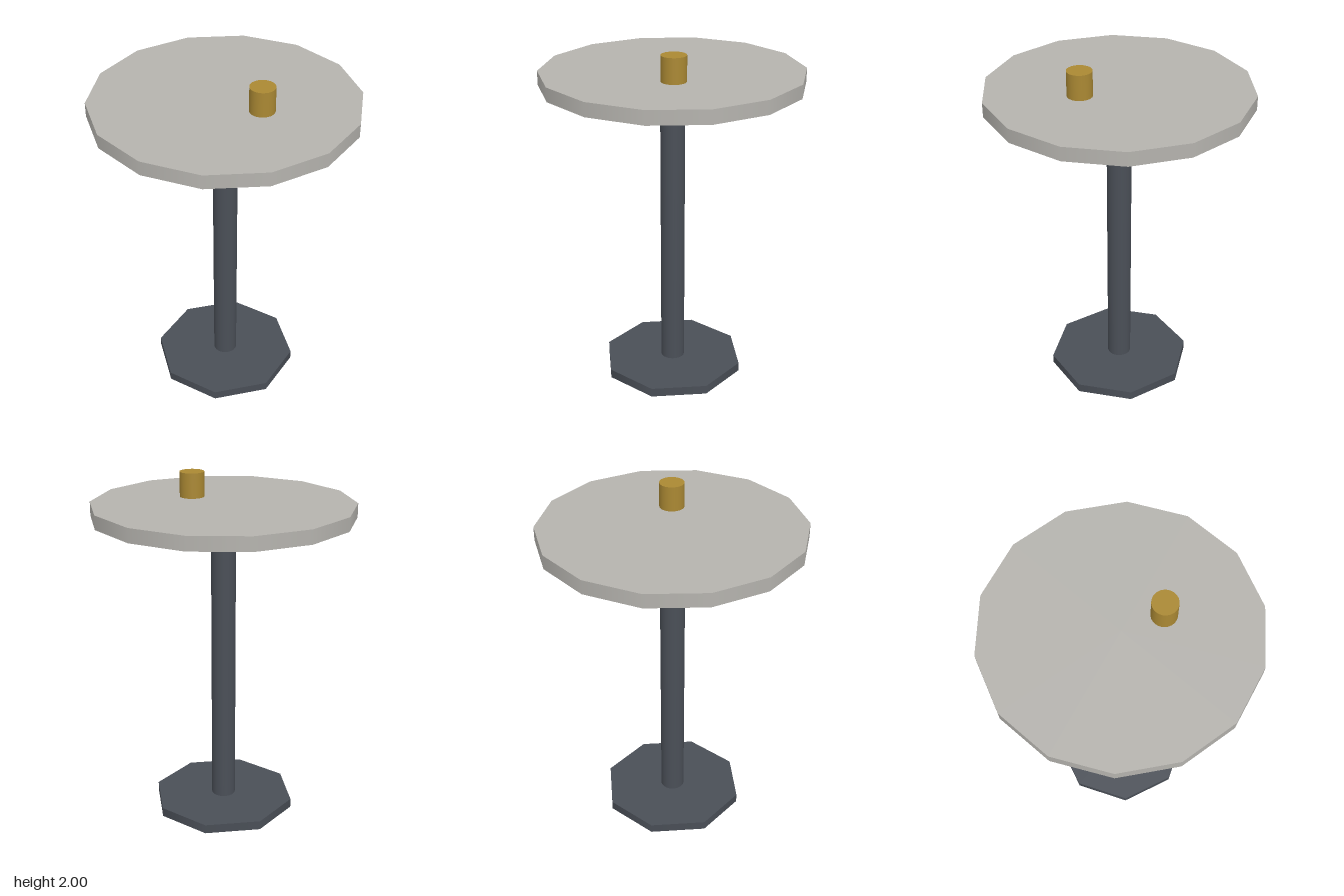
import * as THREE from 'three';

export function createModel() {
  const model = new THREE.Group();
  model.name = 'pedestalTable';

  const material = (name, color) => {
    const m = new THREE.MeshStandardMaterial({ color });
    m.name = name;
    return m;
  };
  const darkMetal = material('dark metal', 0x4a4f57);
  const paleStone = material('pale stone', 0xb5b3ae);
  const brass = material('brass', 0xaa8833);

  // Upright disc or rod between two heights
  const addCylinder = (name, mat, radius, bottom, top, sides, x = 0, z = 0) => {
    const geometry = new THREE.CylinderGeometry(radius, radius, top - bottom, sides);
    const mesh = new THREE.Mesh(geometry, mat);
    mesh.name = name;
    mesh.position.set(x, (bottom + top) / 2, z);
    model.add(mesh);
  };

  addCylinder('base', darkMetal, 0.42, 0, 0.053, 8);
  addCylinder('post', darkMetal, 0.07, 0.053, 1.763, 24);
  // The top floats just above the post
  addCylinder('tableTop', paleStone, 0.74, 1.779, 1.858, 14);
  // Small cup set off centre
  addCylinder('cup', brass, 0.07, 1.858, 2, 24, 0.21, 0.105);

  return model;
}
